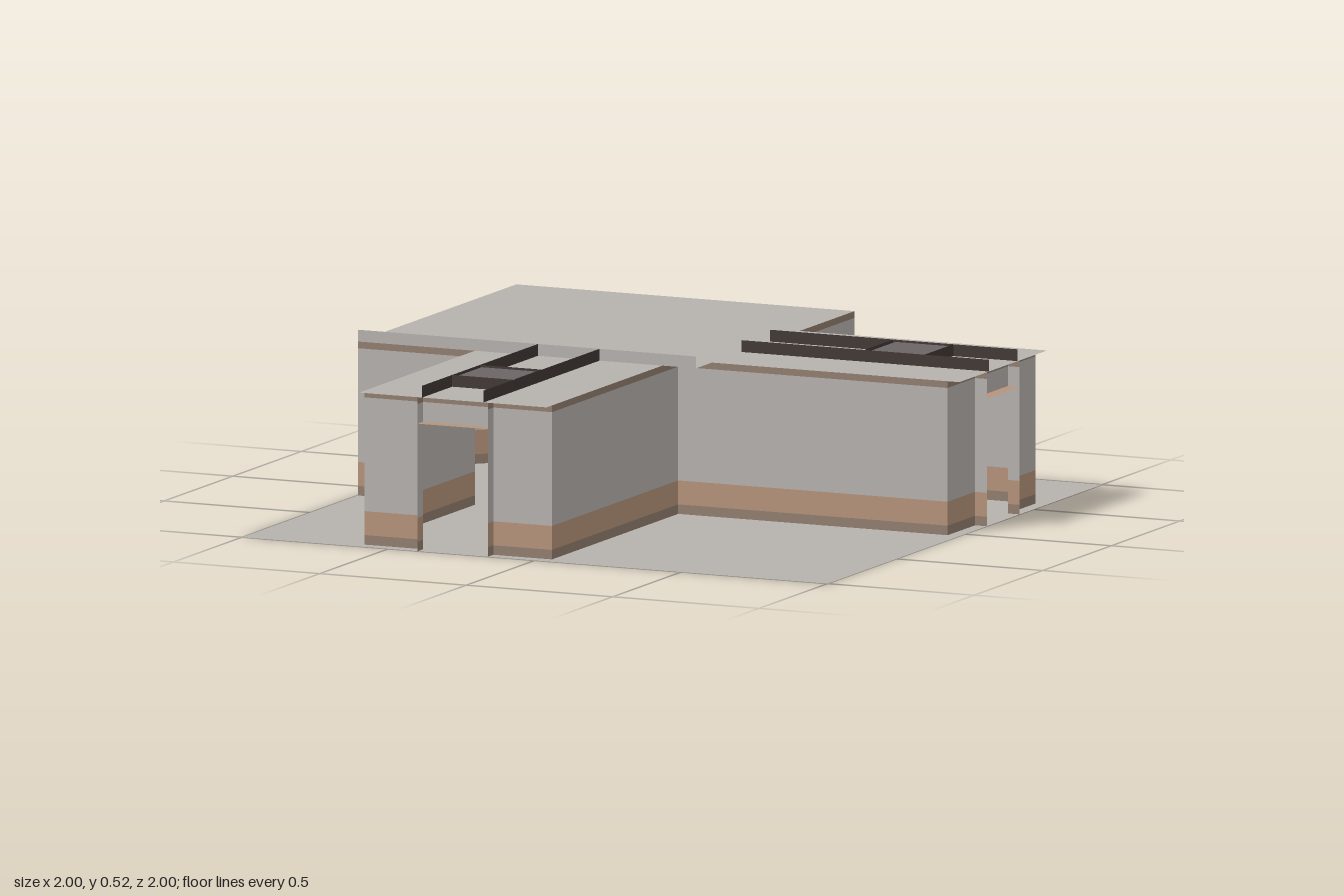
import * as THREE from 'three';

const material = (name, color) => {
  const m = new THREE.MeshStandardMaterial({ color, side: THREE.DoubleSide });
  m.name = name;
  return m;
};

export function createModel() {
  const grey = material('grey panel', 0xb6b1ad);
  const tan = material('tan stripe', 0xb6937a);
  const brown = material('brown trim', 0x927f6f);
  const dark = material('dark rail', 0x403833);
  const hatchGrey = material('hatch grey', 0x6b6665);

  const model = new THREE.Group();
  model.name = 'corridorJunction';
  const H = 0.483, TOP = 0.52;

  const add = (parent, name, geometry, mat, x, y, z) => {
    const mesh = new THREE.Mesh(geometry, mat);
    mesh.name = name;
    mesh.position.set(x, y, z);
    parent.add(mesh);
    return mesh;
  };

  // Upright sheet standing over the floor line a-b
  const sheet = (parent, name, a, b, y0, y1, mat) => {
    const dx = b[0] - a[0], dz = b[1] - a[1];
    const mesh = add(parent, name, new THREE.PlaneGeometry(Math.hypot(dx, dz), y1 - y0), mat,
      (a[0] + b[0]) / 2, (y0 + y1) / 2, (a[1] + b[1]) / 2);
    mesh.rotation.y = Math.atan2(-dz, dx);
  };

  // Level sheet
  const deck = (parent, name, x0, x1, z0, z1, y, mat) => {
    const geometry = new THREE.PlaneGeometry(x1 - x0, z1 - z0).rotateX(-Math.PI / 2);
    add(parent, name, geometry, mat, (x0 + x1) / 2, y, (z0 + z1) / 2);
  };

  // Wall with baseboard, stripe, panel and cornice
  const bands = [
    ['baseboard', 0, 0.03, brown],
    ['stripe', 0.03, 0.105, tan],
    ['panel', 0.105, 0.462, grey],
    ['cornice', 0.462, H, brown],
  ];
  const wall = (parent, name, a, b) => {
    const group = new THREE.Group();
    group.name = name;
    for (const [part, y0, y1, mat] of bands) sheet(group, part, a, b, y0, y1, mat);
    parent.add(group);
  };

  deck(model, 'ground', -1, 1, -1, 1, 0, grey);

  // Central room with one cut corner
  const room = new THREE.Group();
  room.name = 'centralRoom';
  model.add(room);
  deck(room, 'roomRoof', -1, 0.155, -1, 0.155, H, grey);
  const outline = [[0.155, -0.96], [-0.48, -0.96], [-0.96, -0.48], [-0.96, 0.155]];
  for (let i = 0; i < 3; i++) wall(room, 'roomWall', outline[i], outline[i + 1]);
  wall(room, 'frontWall', [-1, 0.155], [-0.6, 0.155]);
  wall(room, 'sideWall', [0.155, -1], [0.155, -0.6]);
  sheet(room, 'parapet', [-1, 0.155], [0.155, 0.155], H, TOP, grey);

  // Two corridors, the second mirrored across the diagonal
  for (const swap of [false, true]) {
    const wing = new THREE.Group();
    wing.name = swap ? 'sideCorridor' : 'frontCorridor';
    model.add(wing);
    const p = (u, w) => (swap ? [w, u] : [u, w]);
    const flat = (name, u0, u1, w0, w1, y, mat) =>
      swap ? deck(wing, name, w0, w1, u0, u1, y, mat) : deck(wing, name, u0, u1, w0, w1, y, mat);

    flat('corridorRoof', -0.6, 0.04, 0.155, 1, H, grey);
    wall(wing, 'outerWall', p(-0.6, 0.155), p(-0.6, 0.96));
    wall(wing, 'innerWall', p(0.04, 0.04), p(0.04, 0.96));

    // End wall around the doorway
    wall(wing, 'endWall', p(-0.6, 0.96), p(-0.4, 0.96));
    wall(wing, 'endWall', p(-0.16, 0.96), p(0.04, 0.96));
    sheet(wing, 'doorHeader', p(-0.4, 0.96), p(-0.16, 0.96), 0.4, 0.462, grey);
    sheet(wing, 'headerCornice', p(-0.4, 0.96), p(-0.16, 0.96), 0.462, H, brown);
    flat('lintel', -0.4, -0.16, 0.96, 1, 0.4, tan);
    for (const u of [-0.4, -0.16]) wall(wing, 'doorFin', p(u, 0.96), p(u, 1));

    // Roof rails, hatch and its cross bars
    for (const u of [-0.385, -0.175]) sheet(wing, 'rail', p(u, 0.155), p(u, 1), H, TOP, dark);
    for (const w of [0.575, 0.78]) sheet(wing, 'crossBar', p(-0.385, w), p(-0.175, w), H, TOP, dark);
    flat('hatch', -0.375, -0.19, 0.587, 0.77, 0.515, hatchGrey);
  }

  // Low table inside the room
  const table = new THREE.Group();
  table.name = 'table';
  model.add(table);
  add(table, 'tableTop', new THREE.BoxGeometry(0.28, 0.03, 0.28), dark, -0.165, 0.135, -0.145);
  add(table, 'tableApron', new THREE.BoxGeometry(0.28, 0.026, 0.28), grey, -0.165, 0.107, -0.145);
  for (const x of [-0.305, -0.025]) {
    for (const z of [-0.285, -0.005]) {
      add(table, 'tableLeg', new THREE.BoxGeometry(0.01, 0.094, 0.01), hatchGrey, x, 0.047, z);
      add(table, 'tableCorner', new THREE.BoxGeometry(0.016, 0.075, 0.016), grey, x, 0.1165, z);
    }
  }

  return model;
}
